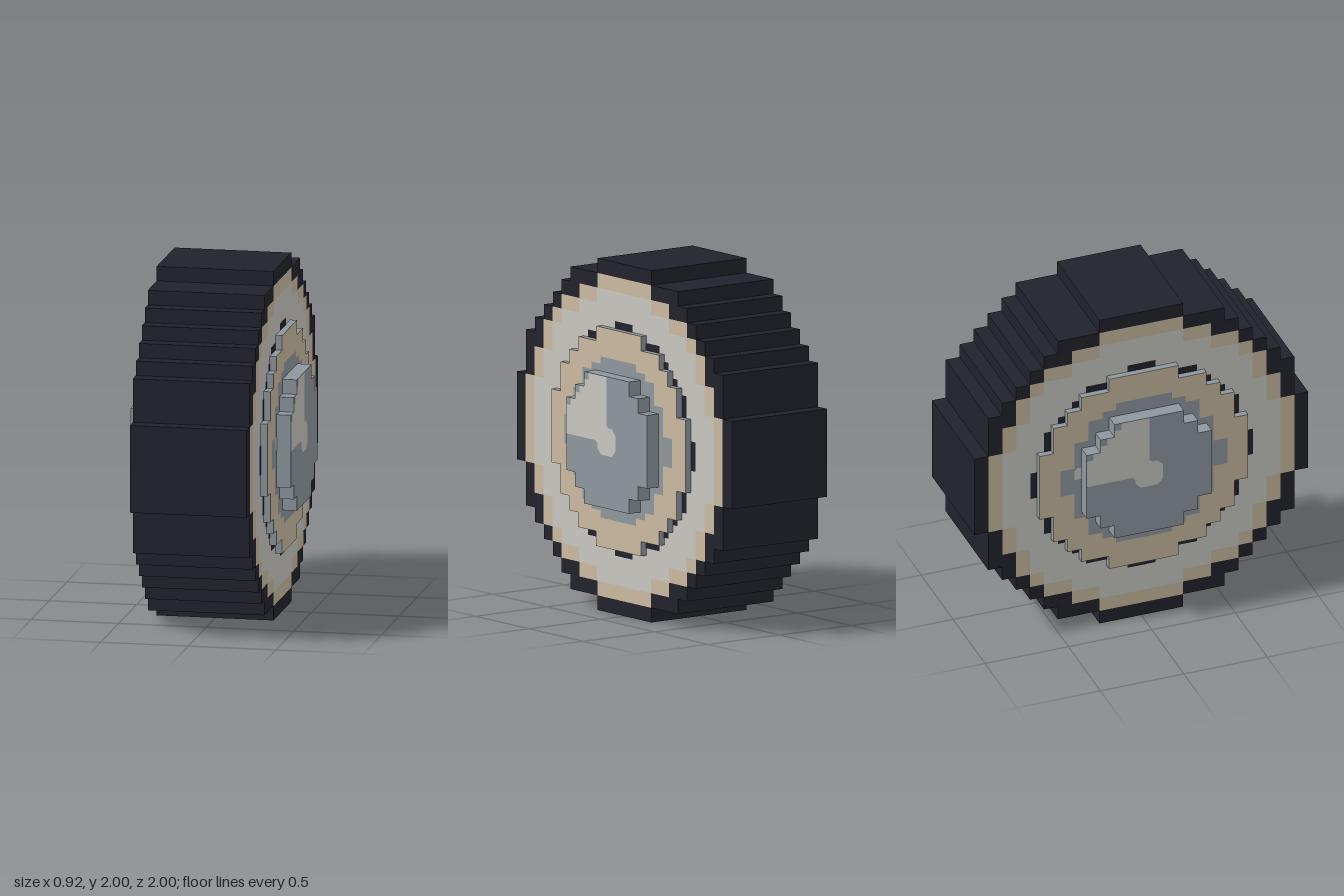
import * as THREE from 'three';

const U = 1 / 12; // one voxel

const mat = (name, color) => {
  const m = new THREE.MeshStandardMaterial({ color });
  m.name = name;
  return m;
};

// Stepped disc outline from its outer corners in one quadrant, top to side
function steppedDisc(corners) {
  const q = [];
  corners.forEach(([w, h], i) => {
    if (i) q.push([corners[i - 1][0], h]);
    q.push([w, h]);
  });
  const r = [...q].reverse();
  return polygon([
    ...q,
    ...r.map(([x, y]) => [x, -y]),
    ...q.map(([x, y]) => [-x, -y]),
    ...r.map(([x, y]) => [-x, y]),
  ]);
}

function polygon(points) {
  return new THREE.Shape(points.map(([x, y]) => new THREE.Vector2(x * U, y * U)));
}

export function createModel() {
  const rubber = mat('dark rubber', 0x22222d);
  const tan = mat('tan', 0xcabaa0);
  const pale = mat('pale grey', 0xc8c7c1);
  const slate = mat('slate grey', 0x8f989f);

  const wheel = new THREE.Group();
  wheel.name = 'wheel';

  // Solid slab standing between two distances from the wheel's middle plane
  const slab = (name, shape, from, to, materials, parent) => {
    const g = new THREE.ExtrudeGeometry(shape, { depth: to - from, bevelEnabled: false });
    g.translate(0, 0, from);
    const mesh = new THREE.Mesh(g, materials);
    mesh.name = name;
    parent.add(mesh);
  };
  // Flat painted face
  const face = (name, shape, at, material, parent) => {
    const mesh = new THREE.Mesh(new THREE.ShapeGeometry(shape), material);
    mesh.name = name;
    mesh.position.z = at;
    parent.add(mesh);
  };

  const tyreShape = steppedDisc([[3, 12], [6, 11], [7, 10], [8, 9], [9, 8], [10, 7], [11, 6], [12, 3]]);
  const tanShape = steppedDisc([[3, 11], [5, 10], [7, 9], [8, 8], [9, 7], [10, 5], [11, 3]]);
  const paleShape = steppedDisc([[3, 10], [5, 9], [7, 8], [8, 7], [9, 5], [10, 3]]);
  const grooveShape = steppedDisc([[1, 8], [4, 7], [5, 6], [6, 5], [7, 4], [8, 1]]);
  const hubShape = steppedDisc([[2.5, 7.5], [4.5, 6.5], [5.5, 5.5], [6.5, 4.5], [7.5, 2.5]]);
  const hubCentreShape = steppedDisc([[2, 5.5], [3, 5], [4, 4.5], [5, 3], [6, 1]]);
  const bossShape = steppedDisc([[2.5, 4.5], [3.5, 3.5], [4.5, 2.5]]);

  // Rounded pivot shared by the pale sector, from the top edge clockwise
  const pivot = [[0, 4.5], [0, 1.2], [0.2, 1], [0.6, 1], [1, 0.6], [1, -0.5], [0.6, -0.9],
    [-0.6, -0.9], [-1, -0.5], [-1, -0.2], [-1.2, 0]];
  const sectorSteps = [[-4, 2], [-4, 2.5], [-3.5, 2.5], [-3.5, 3], [-3, 3], [-3, 3.5],
    [-2.5, 3.5], [-2.5, 4], [-2, 4], [-2, 4.5]];
  const bossSector = polygon([...pivot, [-4.5, 0], [-4.5, 2], ...sectorSteps]);
  const hubSector = polygon([...pivot, [-4, 0], [-4.2, 0.1], [-5, 0.1], [-5, 0.8], [-4.8, 1],
    [-4.5, 1], [-4.5, 2], ...sectorSteps]);

  const W = 4 * U; // half width of the tyre
  const hubTop = 4.5 * U, bossTop = 5.5 * U;

  // Tyre body
  const core = new THREE.Group();
  core.name = 'tyre';
  core.rotation.y = Math.PI / 2;
  slab('tread', tyreShape, -W, W, rubber, core);
  wheel.add(core);

  // Both sidewalls, the second turned half way round
  for (const s of [1, -1]) {
    const side = new THREE.Group();
    side.name = s > 0 ? 'leftSide' : 'rightSide';
    side.rotation.y = s * Math.PI / 2;
    face('outerBand', tanShape, W + 0.0015, tan, side);
    face('sidewall', paleShape, W + 0.003, pale, side);
    face('groove', grooveShape, W + 0.0045, rubber, side);
    slab('hubPlate', hubShape, W, hubTop, [tan, slate], side);
    face('hubCentre', hubCentreShape, hubTop + 0.0015, slate, side);
    face('hubSector', hubSector, hubTop + 0.003, pale, side);
    slab('boss', bossShape, hubTop, bossTop, slate, side);
    face('bossSector', bossSector, bossTop + 0.0015, pale, side);
    wheel.add(side);
  }

  wheel.position.y = 1;
  const model = new THREE.Group();
  model.name = 'wheelModel';
  model.add(wheel);
  return model;
}
